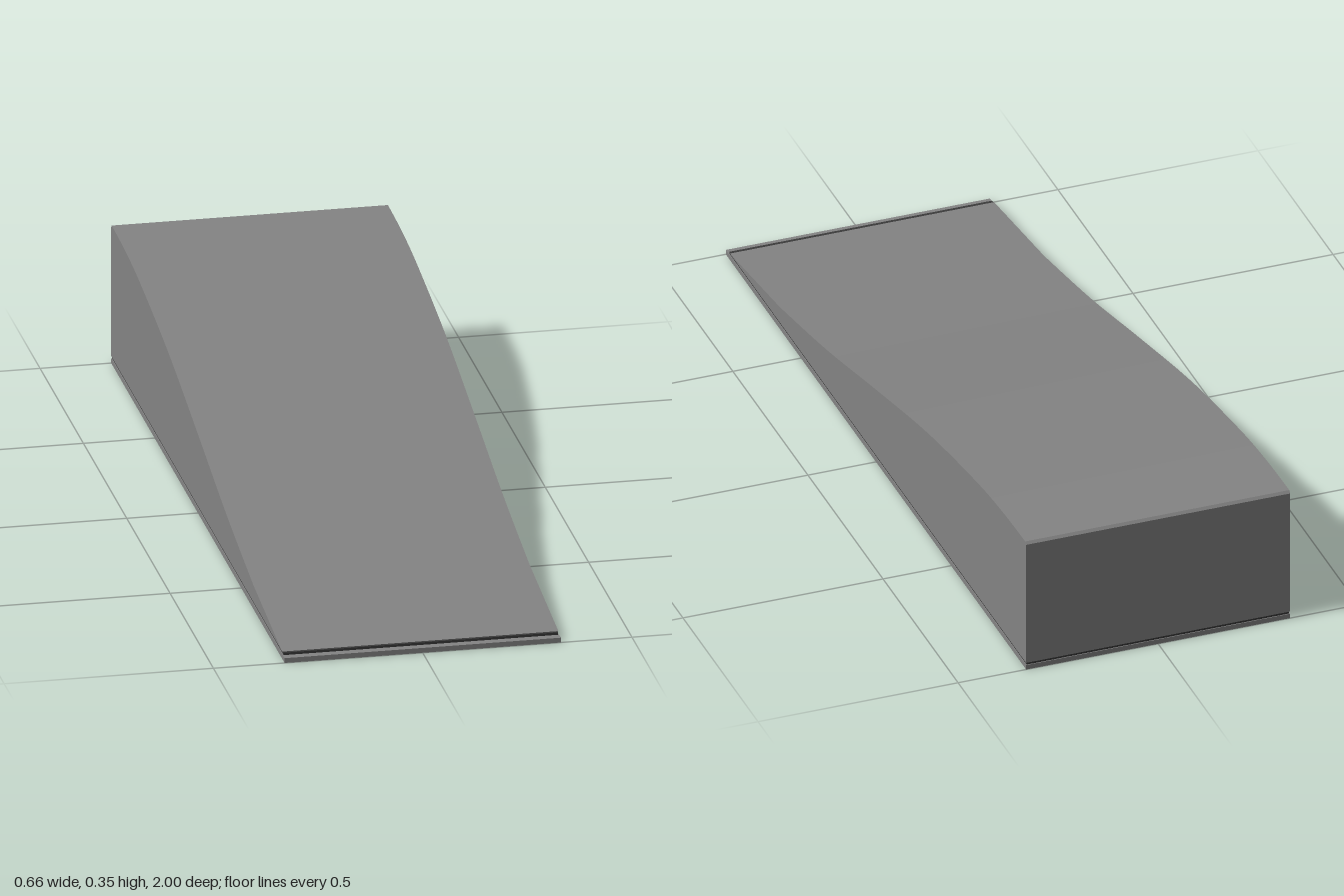
import * as THREE from 'three';
import { toCreasedNormals } from 'three/addons/utils/BufferGeometryUtils.js';

const HALF_WIDTH = 0.33;

export function createModel() {
  const group = new THREE.Group();
  group.name = 'wedgeRamp';
  const grey = new THREE.MeshStandardMaterial({ color: 0x848484 });
  const dark = new THREE.MeshStandardMaterial({ color: 0x3a3a3a });

  const add = (name, geometry, material) => {
    const mesh = new THREE.Mesh(geometry, material);
    mesh.name = name;
    group.add(mesh);
  };

  // Thin slab spanning a height range, inset evenly from the outer footprint
  const slab = (y0, y1, inset, frontInset = inset) => {
    const z0 = -1 + inset, z1 = 1 - frontInset;
    return new THREE.BoxGeometry(2 * (HALF_WIDTH - inset), y1 - y0, z1 - z0)
      .translate(0, (y0 + y1) / 2, (z0 + z1) / 2);
  };

  // Flat base plate and the dark recessed seam above it
  add('basePlate', slab(0, 0.012, 0), grey);
  add('seam', slab(0.012, 0.018, 0.002, 0.02), dark);

  // Ramp body: side profile (z, y) with an S-curved top and a softened rear edge
  const top = [
    [0.33, 0.12], [0, 0.198], [-0.34, 0.274],
    [-0.66, 0.325], [-0.84, 0.342], [-0.994, 0.347],
  ].map(([z, y]) => new THREE.Vector2(z, y));
  const profile = new THREE.Shape();
  profile.moveTo(-1, 0.018);
  profile.lineTo(0.972, 0.018);
  profile.lineTo(0.64, 0.06);
  profile.splineThru(top);
  profile.lineTo(-1, 0.341);
  profile.closePath();
  const body = new THREE.ExtrudeGeometry(profile, {
    depth: 2 * HALF_WIDTH, bevelEnabled: false, curveSegments: 5,
  });
  body.translate(0, 0, -HALF_WIDTH).rotateY(-Math.PI / 2);
  add('rampBody', toCreasedNormals(body, 0.5), grey);

  return group;
}
